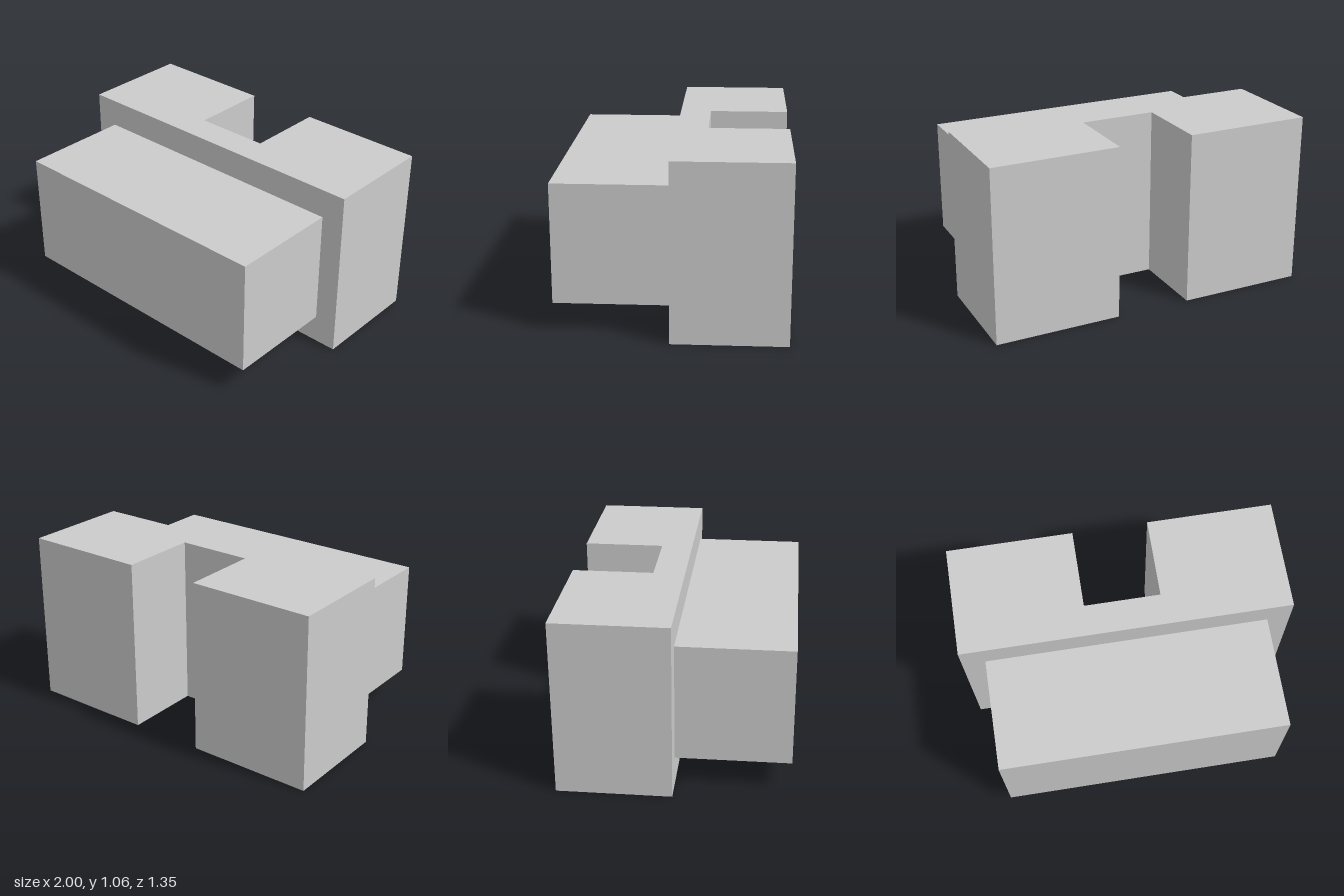
import * as THREE from 'three';

export function createModel() {
  const group = new THREE.Group();
  const material = new THREE.MeshStandardMaterial({ color: 0xcccccc, flatShading: true });
  const height = 1.06, depth = 0.675, slot = 0.23, web = 0.19;

  // U-shaped rear body, drawn in plan (shape y = -z) and extruded upwards
  const plan = new THREE.Shape([
    [-1, 0], [1, 0], [1, depth], [slot, depth],
    [slot, web], [-slot, web], [-slot, depth], [-1, depth],
  ].map(([x, y]) => new THREE.Vector2(x, y)));
  const bodyGeometry = new THREE.ExtrudeGeometry(plan, { depth: height, bevelEnabled: false });
  bodyGeometry.rotateX(-Math.PI / 2);
  const body = new THREE.Mesh(bodyGeometry, material);
  body.name = 'slottedBody';
  group.add(body);

  // Smaller block projecting from the middle of the front face
  const block = new THREE.Mesh(new THREE.BoxGeometry(1.72, 0.71, depth), material);
  block.position.set(0, height / 2, depth / 2);
  block.name = 'frontBlock';
  group.add(block);

  return group;
}
